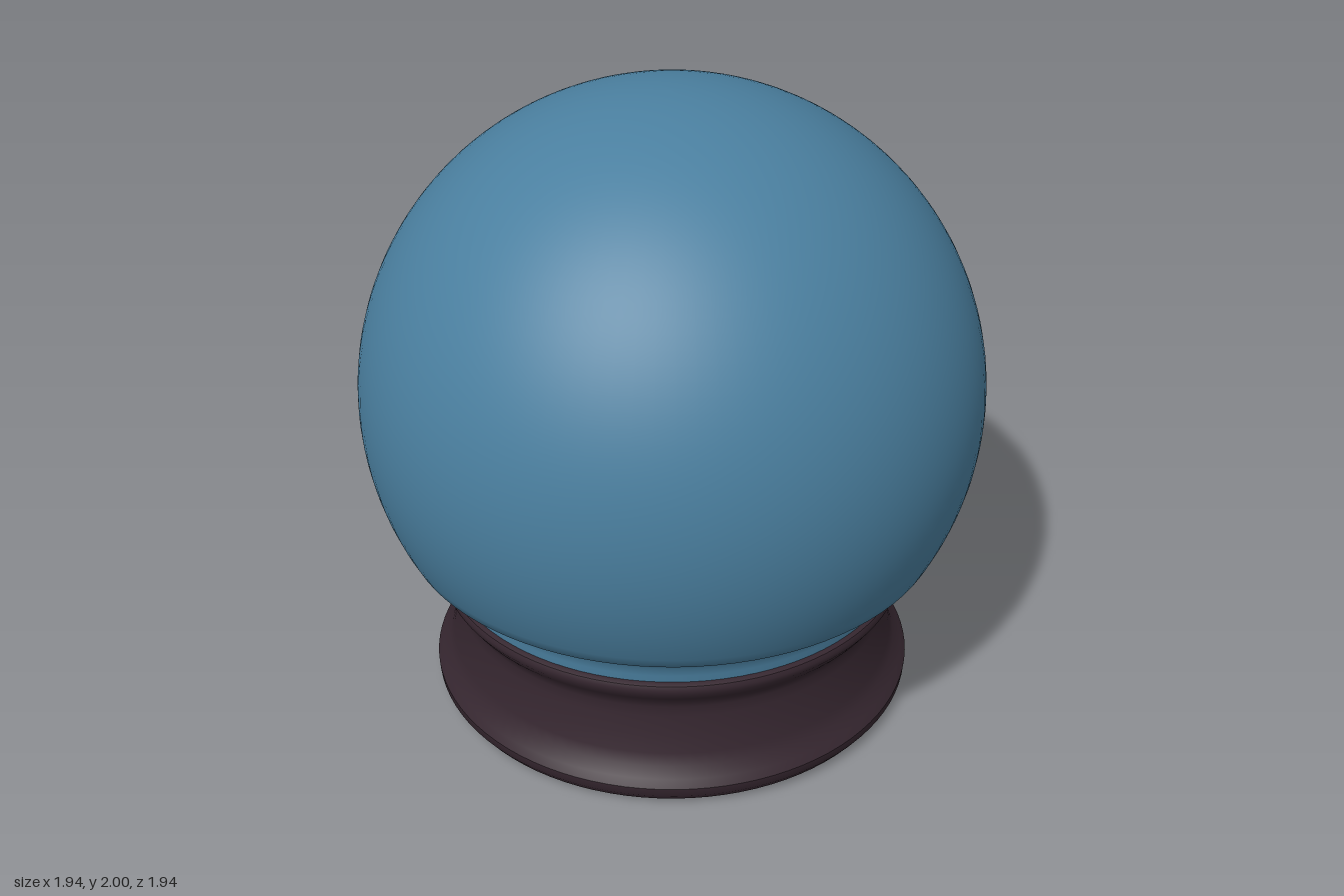
import * as THREE from 'three';
import { toCreasedNormals } from 'three/addons/utils/BufferGeometryUtils.js';

const SEGMENTS = 96;

// Spin a smooth [radius, height] profile around the vertical axis
function turned(profile, material, name) {
  const points = profile.map(([r, y]) => new THREE.Vector2(r, y));
  const mesh = new THREE.Mesh(new THREE.LatheGeometry(points, SEGMENTS), material);
  mesh.name = name;
  return mesh;
}

export function createModel() {
  const glass = new THREE.MeshStandardMaterial({ color: 0x4a7f9f });
  glass.name = 'blue glass';
  const wood = new THREE.MeshStandardMaterial({ color: 0x35262f });
  wood.name = 'dark wood';

  const model = new THREE.Group();
  model.name = 'crystalBall';

  // Glass globe: short neck flaring into a sphere
  const radius = 0.972, centre = 1.028;
  const globeProfile = [[0.738, 0.42], [0.742, 0.46], [0.745, 0.49], [0.765, 0.517], [0.8, 0.55]];
  const start = Math.asin((0.59 - centre) / radius);
  const steps = 48;
  for (let i = 0; i <= steps; i++) {
    const a = THREE.MathUtils.lerp(start, Math.PI / 2, i / steps);
    globeProfile.push([i === steps ? 0 : radius * Math.cos(a), centre + radius * Math.sin(a)]);
  }
  model.add(turned(globeProfile, glass, 'globe'));

  // Turned stand: foot ring, waisted body and flared rim
  const stand = turned([
    [0, 0.005], [0.745, 0.005], [0.765, 0.015], [0.783, 0.04], [0.785, 0.068], [0.768, 0.092],
    [0.742, 0.12], [0.728, 0.16], [0.713, 0.22], [0.703, 0.28], [0.7, 0.315], [0.708, 0.34],
    [0.732, 0.37], [0.752, 0.4], [0.755, 0.418], [0.75, 0.43], [0.735, 0.436], [0.7, 0.436],
  ], wood, 'stand');
  stand.geometry = toCreasedNormals(stand.geometry, 0.65);
  stand.position.z = 0.005;
  model.add(stand);

  // Flat underside
  const underside = new THREE.Mesh(new THREE.CircleGeometry(0.745, SEGMENTS), wood);
  underside.name = 'underside';
  underside.rotation.x = Math.PI / 2;
  underside.position.z = 0.005;
  model.add(underside);

  return model;
}
